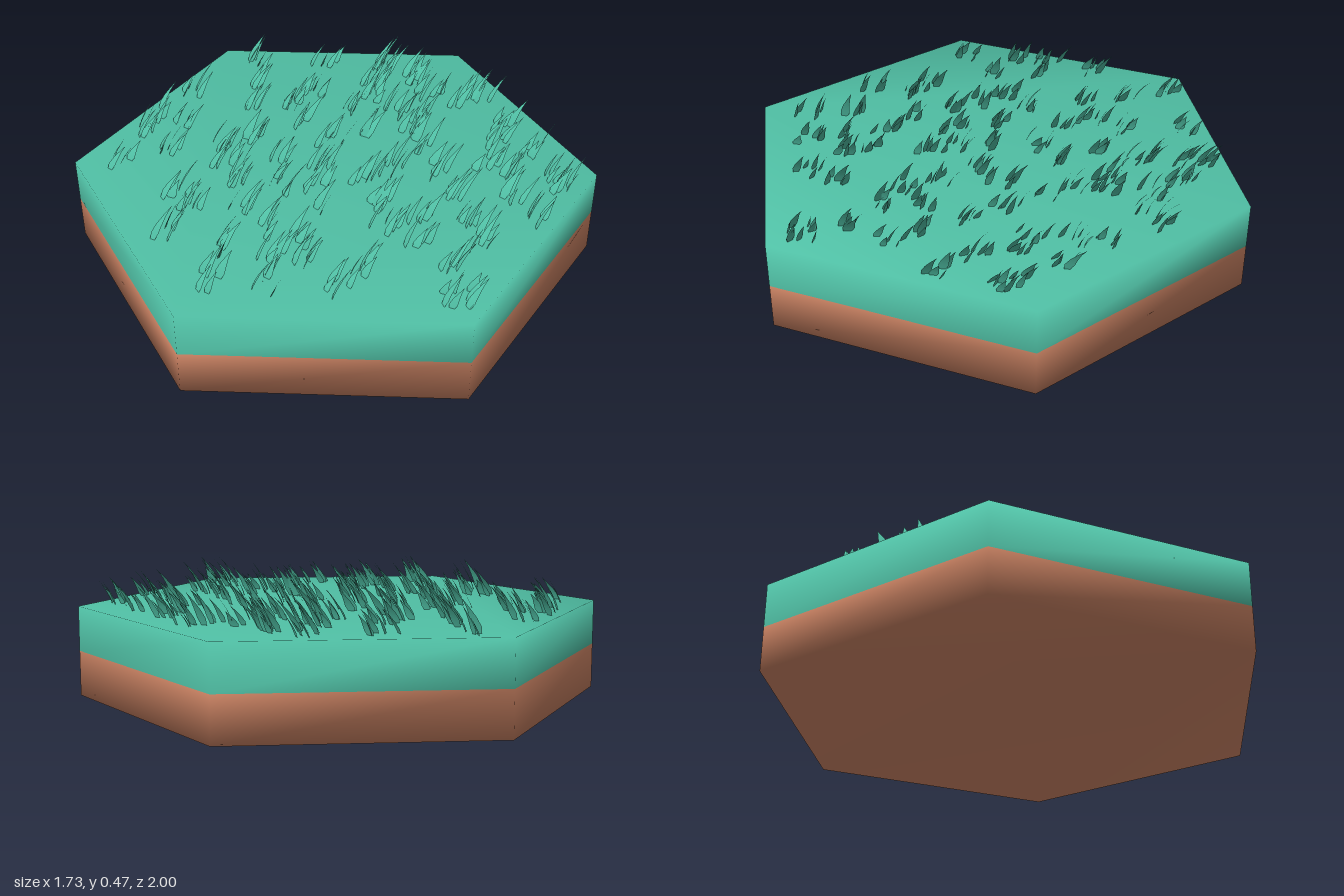
import * as THREE from 'three';
import { mergeGeometries } from 'three/addons/utils/BufferGeometryUtils.js';

const TOP = 0.345, MID = 0.173;

// Tuft centres as x, z pairs
const TUFTS = [
  -.22, -.8, -.2, -.7, -.1, -.74, -.02, -.72, .05, -.66, .26, -.78, .2, -.68, -.44, -.65, -.7, -.5,
  -.6, -.36, -.2, -.55, -.13, -.55, -.35, -.44, -.38, -.3, -.18, -.4, 0, -.47, .08, -.5, .12, -.42,
  .4, -.6, .46, -.5, .58, -.5, .5, -.35, .2, -.32, .6, -.35, .74, -.38, .8, -.35, -.77, -.17,
  -.5, -.2, -.3, -.2, -.1, -.15, 0, -.25, .2, -.12, .35, -.2, .48, -.12, .68, -.22, .8, -.12,
  -.8, .05, -.68, .03, -.4, -.02, -.45, .1, -.2, .05, -.05, 0, 0, .12, .15, 0, .25, .08,
  .45, .08, .6, .05, .7, .1, -.77, .17, -.72, .4, -.6, .22, -.35, .18, -.25, .25, -.1, .18,
  .1, .2, .35, .18, .5, .23, .66, .25, .74, .4, .8, .38, -.4, .45, -.3, .5, -.15, .4,
  0, .45, .14, .4, .2, .5, .4, .45, .38, .58, -.3, .65, -.06, .6, .1, .55, .18, .68, 0, .78,
];

function seeded(seed) {
  return () => {
    seed = (seed * 16807) % 2147483647;
    return seed / 2147483647;
  };
}

// Hexagonal block with smooth shared normals, split into earth and turf groups
function hexBlock() {
  const pos = [], earth = [], turf = [];
  for (const y of [0, MID, TOP]) {
    for (let i = 0; i < 6; i++) {
      const a = i * Math.PI / 3;
      pos.push(Math.sin(a), y, Math.cos(a));
    }
  }
  const wall = (list, ring) => {
    for (let i = 0; i < 6; i++) {
      const a = ring * 6 + i, b = ring * 6 + (i + 1) % 6;
      list.push(a, b, b + 6, a, b + 6, a + 6);
    }
  };
  wall(earth, 0);
  wall(turf, 1);
  for (let i = 1; i < 5; i++) {
    earth.push(0, i + 1, i);
    turf.push(12, 12 + i, 13 + i);
  }
  const g = new THREE.BufferGeometry();
  g.setAttribute('position', new THREE.Float32BufferAttribute(pos, 3));
  g.setIndex([...earth, ...turf]);
  g.addGroup(0, earth.length, 0);
  g.addGroup(earth.length, turf.length, 1);
  g.computeVertexNormals();
  return g;
}

// One tapered blade, bowed along its lean direction
function blade(x, z, height, width, leanX, leanZ, yaw) {
  const pos = [], index = [];
  const widths = [0.55, 1, 0.75, 0.35, 0.03];
  const wx = Math.cos(yaw) * width / 2, wz = Math.sin(yaw) * width / 2;
  widths.forEach((w, i) => {
    const t = i / (widths.length - 1);
    const s = t * (0.55 + 0.45 * t);
    const cx = x + leanX * s, cz = z + leanZ * s, y = TOP - 0.006 + (height + 0.006) * t;
    pos.push(cx - wx * w, y, cz - wz * w, cx + wx * w, y, cz + wz * w);
    if (i) {
      const a = i * 2 - 2;
      index.push(a, a + 1, a + 3, a, a + 3, a + 2);
    }
  });
  const g = new THREE.BufferGeometry();
  g.setAttribute('position', new THREE.Float32BufferAttribute(pos, 3));
  g.setIndex(index);
  g.computeVertexNormals();
  return g;
}

export function createModel() {
  const green = new THREE.MeshStandardMaterial({ color: 0x50c0a5, side: THREE.DoubleSide });
  green.name = 'grass green';
  const brown = new THREE.MeshStandardMaterial({ color: 0xdc8e6c });
  brown.name = 'earth brown';

  const model = new THREE.Group();
  model.name = 'grassTile';

  const base = new THREE.Mesh(hexBlock(), [brown, green]);
  base.name = 'earthAndTurf';
  model.add(base);

  // Tufts of blades, all swept the same way
  const rand = seeded(4711);
  const spread = (n) => (rand() - 0.5) * n;
  const blades = [];
  for (let i = 0; i < TUFTS.length; i += 2) {
    for (let k = 0; k < 5; k++) {
      const height = 0.055 + rand() * 0.07;
      const x = TUFTS[i] - 0.01 + spread(0.09), z = TUFTS[i + 1] + 0.025 + spread(0.1);
      const lean = height * 0.75;
      blades.push(blade(Math.min(x, 0.81), z, height, 0.024 + rand() * 0.016,
        lean * (0.5 + spread(0.3)), -lean * (0.75 + spread(0.4)), 0.6 + spread(1.6)));
    }
  }
  const grass = new THREE.Mesh(mergeGeometries(blades), green);
  grass.name = 'grassBlades';
  model.add(grass);

  return model;
}
